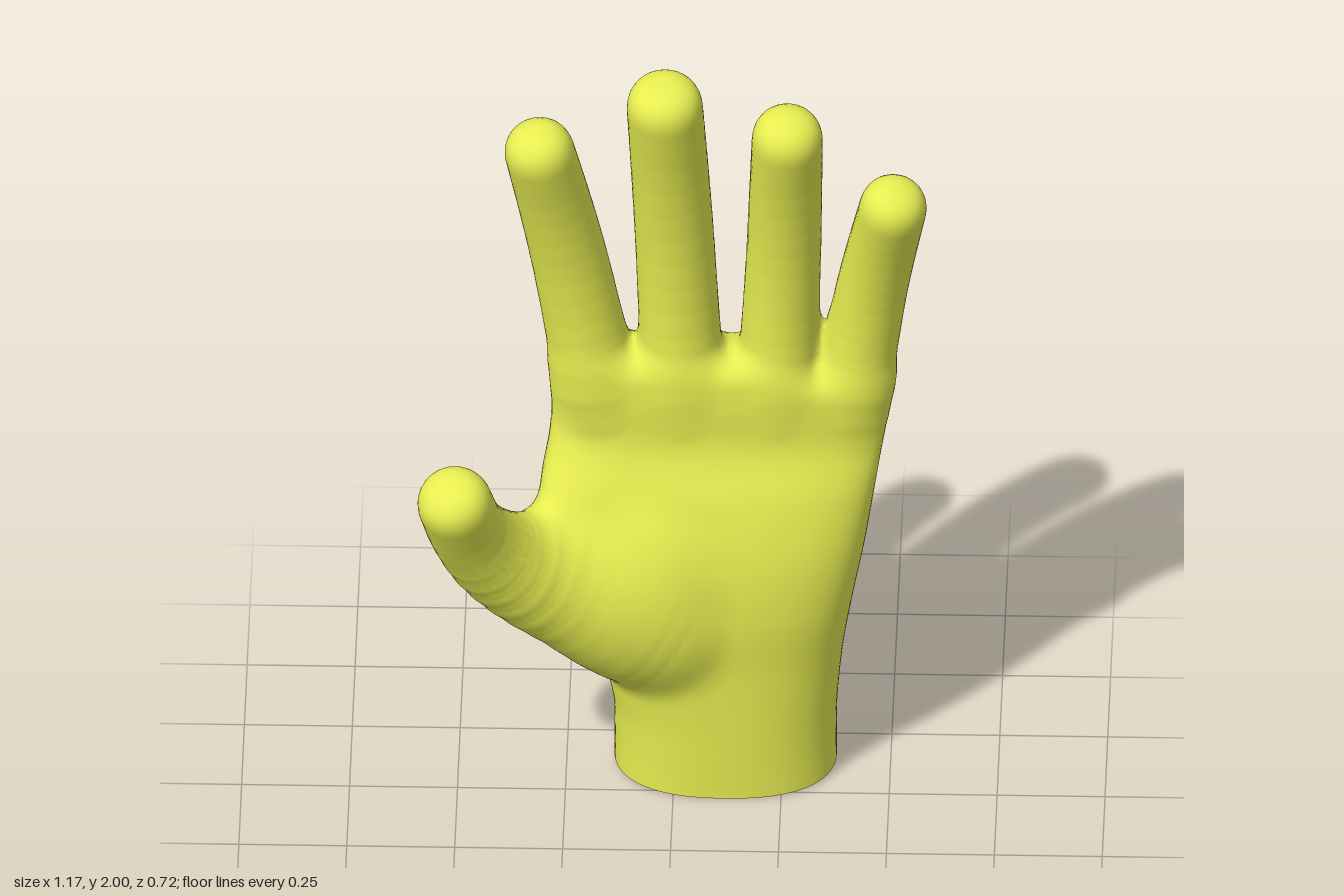
import * as THREE from 'three';

const { smoothstep, lerp } = THREE.MathUtils;
const skin = new THREE.MeshStandardMaterial({ color: 0xe6ec50 });

// Joins two distances with a soft fillet of width k
function blend(a, b, k) {
  const h = Math.max(k - Math.abs(a - b), 0) / k;
  return Math.min(a, b) - h * h * k * 0.25;
}
const softCut = (a, b, k) => -blend(-a, -b, k);

// Evenly sample rows of numbers with a smooth curve through each column
function smoothRows(rows, count) {
  const out = [];
  for (let i = 0; i <= count; i++) {
    const t = (i / count) * (rows.length - 1);
    const k = Math.min(Math.floor(t), rows.length - 2);
    const f = t - k;
    out.push(rows[k].map((p1, c) => {
      const p2 = rows[k + 1][c];
      const p0 = k > 0 ? rows[k - 1][c] : 2 * p1 - p2;
      const p3 = k + 2 < rows.length ? rows[k + 2][c] : 2 * p2 - p1;
      return p1 + 0.5 * f * (p2 - p0 + f * (2 * p0 - 5 * p1 + 4 * p2 - p3 + f * (3 * (p1 - p2) + p3 - p0)));
    }));
  }
  return out;
}

// Wrist and palm sections: y, right x, left x, front z, edge z, back z, roundness
const PALM = smoothRows([
  [0, -0.14, 0.375, 0.03, -0.15, -0.36, 0.85],
  [0.1, -0.14, 0.375, 0.035, -0.15, -0.355, 0.85],
  [0.2, -0.145, 0.378, 0.04, -0.14, -0.35, 0.84],
  [0.35, -0.18, 0.392, 0.05, -0.13, -0.335, 0.8],
  [0.5, -0.24, 0.415, 0.065, -0.115, -0.315, 0.76],
  [0.65, -0.295, 0.442, 0.06, -0.105, -0.293, 0.74],
  [0.8, -0.31, 0.465, 0.03, -0.1, -0.267, 0.72],
  [0.93, -0.29, 0.484, -0.01, -0.1, -0.24, 0.7],
  [1.05, -0.28, 0.497, -0.01, -0.1, -0.22, 0.68],
  [1.13, -0.278, 0.505, -0.012, -0.105, -0.207, 0.66],
  [1.25, -0.278, 0.51, -0.02, -0.105, -0.195, 0.66],
], 80);

function palmDistance(x, y, z) {
  let i = 0;
  while (i < PALM.length - 2 && PALM[i + 1][0] < y) i++;
  const f = THREE.MathUtils.clamp((y - PALM[i][0]) / (PALM[i + 1][0] - PALM[i][0]), 0, 1);
  const [, x0, x1, zf, ze, zb, e] = PALM[i].map((a, c) => lerp(a, PALM[i + 1][c], f));
  // The edge under the thumb leans forward
  const lean = 0.06 * smoothstep(-x, 0.05, 0.32) * smoothstep(y, 0.3, 0.6) * (1 - smoothstep(y, 0.75, 1));
  const dz = z - lean - ze;
  const w = (x1 - x0) / 2, d = dz > 0 ? zf - ze : ze - zb, p = 2 / e;
  const u = Math.abs(x - (x0 + x1) / 2) / w, v = Math.abs(dz) / d;
  const g = Math.max((u ** p + v ** p) ** (1 / p), 1e-4);
  const side = (g - 1) / Math.max(Math.hypot((u / g) ** (p - 1) / w, (v / g) ** (p - 1) / d), 1e-4);
  // The knuckle line drops towards the little finger
  const top = y - 1.165 + 0.04 * smoothstep(x, 0.15, 0.36);
  return softCut(side, top, 0.06);
}

// Fleshy mound of the palm below the thumb
function moundDistance(x, y, z) {
  const px = x + 0.09, py = y - 0.55, pz = z + 0.03;
  const k0 = Math.hypot(px / 0.19, py / 0.225, pz / 0.14);
  return k0 * (k0 - 1) / Math.max(Math.hypot(px / 0.0361, py / 0.0506, pz / 0.0196), 1e-4);
}

// Distance to a finger along rows of [x, y, z, radius] with a blunt tip
function digitDistance(rows) {
  const pts = smoothRows(rows, 14);
  const [a, b] = pts.slice(-2);
  const n = new THREE.Vector3(b[0] - a[0], b[1] - a[1], b[2] - a[2]).normalize();
  const end = b[0] * n.x + b[1] * n.y + b[2] * n.z + 0.056;
  pts.push([b[0] + n.x * 0.06, b[1] + n.y * 0.06, b[2] + n.z * 0.06, b[3]]);
  return (x, y, z) => {
    let best = Infinity;
    for (let i = 0; i < pts.length - 1; i++) {
      const [ax, ay, az, ar] = pts[i];
      const [bx, by, bz, br] = pts[i + 1];
      const dx = bx - ax, dy = by - ay, dz = bz - az;
      const px = x - ax, py = y - ay, pz = z - az;
      const t = Math.min(1, Math.max(0, (px * dx + py * dy + pz * dz) / (dx * dx + dy * dy + dz * dz)));
      const qx = px - dx * t, qy = py - dy * t, qz = pz - dz * t;
      best = Math.min(best, Math.sqrt(qx * qx + qy * qy + qz * qz) - ar - (br - ar) * t);
    }
    return softCut(best, x * n.x + y * n.y + z * n.z - end, 0.08);
  };
}

// Each part: name, fillet width, distance
const parts = [['palm', 0.01, palmDistance], ['thumbMound', 0.08, moundDistance]];
parts.push(['thumb', 0.09, digitDistance([
  [-0.03, 0.45, -0.06, 0.135], [-0.15, 0.515, -0.03, 0.152], [-0.285, 0.605, 0.03, 0.138],
  [-0.4, 0.715, 0.11, 0.111], [-0.468, 0.84, 0.193, 0.091], [-0.502, 0.985, 0.28, 0.087],
])]);

// Fingers: base x, middle x, tip x, top y, base and tip radius
const BEND = [[0, -0.11], [0.25, -0.103], [0.5, -0.08], [0.75, -0.035], [1, 0.03]];
for (const [name, xa, xm, xb, top, ra, rb] of [
  ['indexFinger', -0.182, -0.245, -0.312, 1.873, 0.095, 0.081],
  ['middleFinger', 0.018, 0.0, -0.02, 2.005, 0.095, 0.088],
  ['ringFinger', 0.238, 0.254, 0.265, 1.92, 0.091, 0.082],
  ['littleFinger', 0.415, 0.46, 0.512, 1.73, 0.087, 0.078],
]) {
  const rows = BEND.map(([f, z]) => [
    f < 0.5 ? lerp(xa, xm, f * 2) : lerp(xm, xb, f * 2 - 1),
    lerp(1.07, top - 0.07, f), z, lerp(ra, rb, f),
  ]);
  // Root buried in the palm so the finger emerges gradually
  rows.unshift([xa * 0.93 + 0.006, 0.9, -0.125, 0.055]);
  parts.push([name, 0.04, digitDistance(rows)]);
}

const field = (x, y, z) => parts.reduce((d, [, k, dist]) => blend(d, dist(x, y, z), k), 10);

// One continuous skin over all parts, on a grid open at the wrist, as one mesh per part
function buildSkin() {
  const H = 0.0145, N = [90, 142, 58], O = [-0.65, -H / 2, -0.42];
  const S = [1, N[0], N[0] * N[1]];
  const value = new Float32Array(N[0] * N[1] * N[2]);
  const eachPoint = (trim, fn) => {
    for (let k = 0; k < N[2] - trim; k++)
      for (let j = 0; j < N[1] - trim; j++)
        for (let i = 0; i < N[0] - trim; i++) fn([i, j, k], i + j * S[1] + k * S[2]);
  };
  eachPoint(0, (c, id) => { value[id] = field(...c.map((n, a) => O[a] + n * H)); });

  // One vertex per crossed cell, settled onto the surface
  const vertex = new Int32Array(value.length).fill(-1);
  const pos = [], normals = [];
  eachPoint(1, (c, id) => {
    const sum = new THREE.Vector3();
    let hits = 0;
    for (let m = 0; m < 8; m++) for (let a = 0; a < 3; a++) {
      if (m >> a & 1) continue;
      const off = [m & 1, m >> 1 & 1, m >> 2];
      const from = id + off[0] * S[0] + off[1] * S[1] + off[2] * S[2];
      const v0 = value[from], v1 = value[from + S[a]];
      if (v0 < 0 === v1 < 0) continue;
      off[a] += v0 / (v0 - v1);
      sum.add(new THREE.Vector3(...off));
      hits++;
    }
    if (!hits) return;
    const p = sum.divideScalar(hits).add(new THREE.Vector3(...c)).multiplyScalar(H).add(new THREE.Vector3(...O));
    const { x, y, z } = p, s = 0.004;
    const grad = new THREE.Vector3(
      field(x + s, y, z) - field(x - s, y, z),
      field(x, y + s, z) - field(x, y - s, z),
      field(x, y, z + s) - field(x, y, z - s)).divideScalar(2 * s);
    p.addScaledVector(grad, -field(x, y, z) / Math.max(grad.lengthSq(), 0.5));
    grad.normalize();
    // The wrist cut rises to the back
    p.y += Math.max(0, 1 - p.y / 0.4) ** 2 * (0.0023 - 0.077 * p.z);
    vertex[id] = pos.length / 3;
    pos.push(p.x, p.y, p.z);
    normals.push(grad.x, grad.y, grad.z);
  });

  // A quad around each crossed grid edge, given to the nearest part
  const faces = parts.map(() => []);
  eachPoint(1, (c, id) => {
    for (let a = 0; a < 3; a++) {
      const b = (a + 1) % 3, d = (a + 2) % 3;
      const inside = value[id] < 0;
      if (inside === value[id + S[a]] < 0 || !c[b] || !c[d]) continue;
      const q = [id, id - S[b], id - S[b] - S[d], id - S[d]].map((n) => vertex[n]);
      if (!inside) q.reverse();
      const near = parts.map(([, , dist]) => dist(...c.map((n, m) => O[m] + n * H)));
      faces[near.indexOf(Math.min(...near))].push(q[0], q[1], q[2], q[0], q[2], q[3]);
    }
  });
  const position = new THREE.Float32BufferAttribute(pos, 3);
  const normal = new THREE.Float32BufferAttribute(normals, 3);
  return parts.map(([name], i) => {
    const geo = new THREE.BufferGeometry().setAttribute('position', position).setAttribute('normal', normal);
    const mesh = new THREE.Mesh(geo.setIndex(faces[i]), skin);
    mesh.name = name;
    return mesh;
  });
}

export function createModel() {
  const hand = new THREE.Group();
  hand.name = 'hand';
  hand.add(...buildSkin());

  // Flat, slightly tilted cut through the wrist
  const [, x0, x1, zf, ze, zb, e] = PALM[0];
  const round = (v) => Math.sign(v) * Math.abs(v) ** e;
  const outline = Array.from({ length: 64 }, (_, j) => {
    const s = Math.sin(j * Math.PI / 32), c = Math.cos(j * Math.PI / 32);
    return new THREE.Vector2((x0 + x1) / 2 + round(c) * (x1 - x0) / 2, ze + round(s) * (s > 0 ? zf - ze : ze - zb));
  });
  const cut = new THREE.Mesh(new THREE.ShapeGeometry(new THREE.Shape(outline)), skin);
  cut.geometry.rotateX(Math.PI / 2 + 0.077).translate(0, 0.0023, 0);
  cut.name = 'wristCut';
  hand.add(cut);
  return hand;
}
